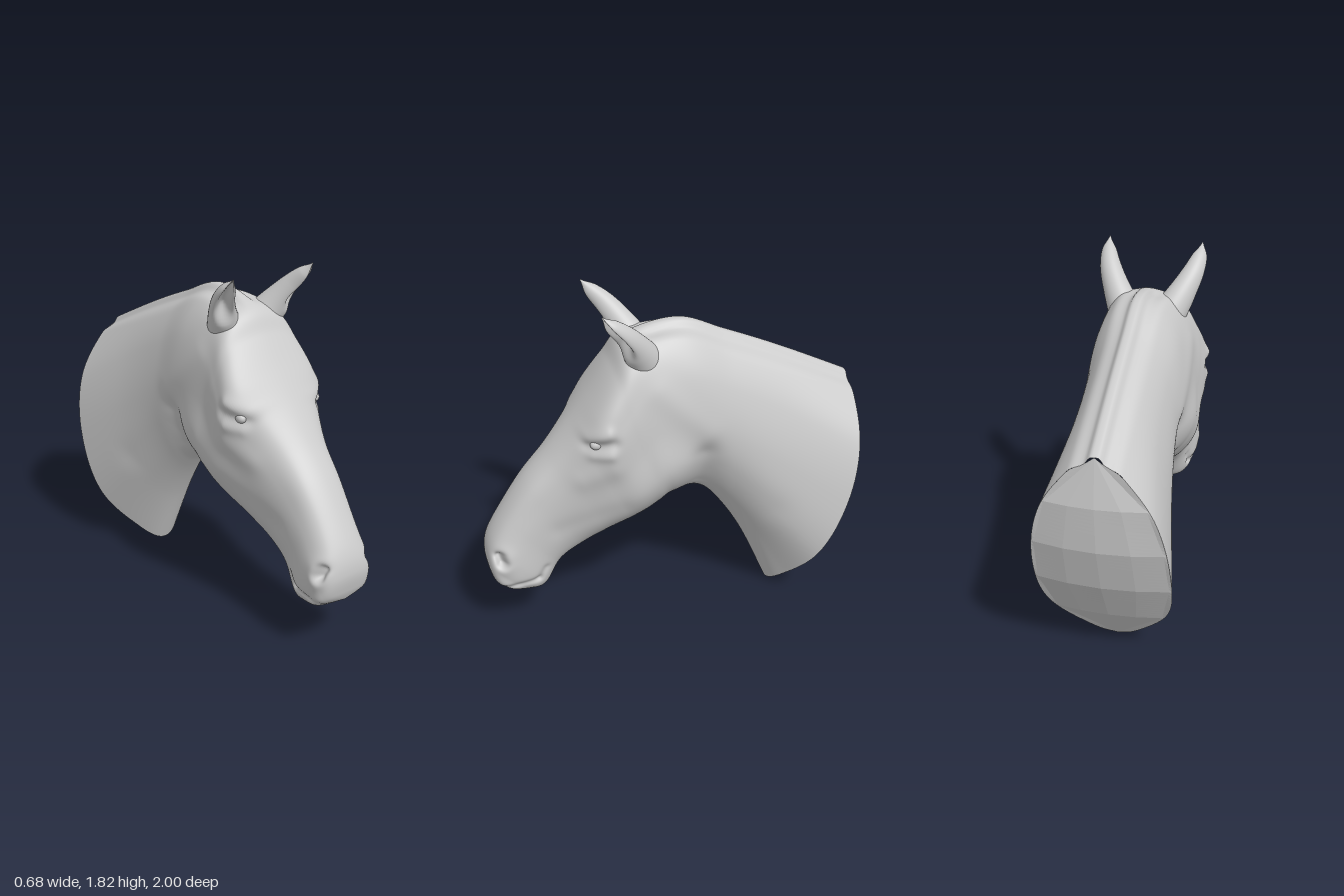
import * as THREE from 'three';

const { clamp, smoothstep } = THREE.MathUtils;
const grey = (opts = {}) => new THREE.MeshStandardMaterial({ color: 0xcccccc, roughness: 0.8, ...opts });
const range = (n, f) => Array.from({ length: n }, (_, i) => f(i));

// Catmull-Rom value through four numbers
const spline = (a, b, c, d, t) =>
  b + 0.5 * t * (c - a + t * (2 * a - 5 * b + 4 * c - d + t * (3 * (b - c) + d - a)));

// Side-view sections, neck base to lips:
// top z, top y, bottom z, bottom y, half-widths at 30/60/90/120 degrees from the top
const SECTIONS = [
  [-0.97, 1.26, -0.57, 0.00, 0.13, 0.28, 0.337, 0.308],
  [-0.60, 1.44, -0.42, 0.34, 0.11, 0.215, 0.27, 0.25],
  [-0.30, 1.57, -0.28, 0.57, 0.105, 0.20, 0.243, 0.21],
  [-0.05, 1.665, -0.16, 0.69, 0.12, 0.215, 0.247, 0.21],
  [0.22, 1.61, 0.00, 0.70, 0.17, 0.24, 0.262, 0.262],
  [0.32, 1.48, 0.07, 0.66, 0.212, 0.268, 0.268, 0.265],
  [0.43, 1.32, 0.14, 0.62, 0.235, 0.288, 0.274, 0.258],
  [0.53, 1.18, 0.22, 0.58, 0.175, 0.24, 0.245, 0.232],
  [0.65, 1.03, 0.34, 0.525, 0.13, 0.19, 0.205, 0.19],
  [0.78, 0.88, 0.48, 0.45, 0.115, 0.16, 0.172, 0.15],
  [0.89, 0.72, 0.60, 0.37, 0.105, 0.152, 0.16, 0.14],
  [0.975, 0.57, 0.68, 0.24, 0.11, 0.158, 0.166, 0.145],
  [1.00, 0.46, 0.75, 0.22, 0.115, 0.155, 0.16, 0.135],
  [0.985, 0.36, 0.87, 0.25, 0.09, 0.13, 0.138, 0.12],
  [0.96, 0.30, 0.96, 0.30, 0, 0, 0, 0],
];

// Soft relief strokes on the sides: z, y to z, y, radius, outward height
const RELIEF = [
  [0.38, 1.21, 0.47, 1.18, 0.035, 0.016],    // brow
  [0.35, 1.15, 0.47, 1.13, 0.03, -0.014],    // eye socket
  [0.37, 1.085, 0.45, 1.08, 0.03, 0.010],    // lower lid
  [0.50, 0.93, 0.36, 0.99, 0.06, 0.008],     // face crest
  [0.62, 0.62, 0.30, 0.74, 0.06, -0.006],    // hollow above the jaw
  [-0.14, 0.98, -0.13, 0.78, 0.065, -0.024], // groove behind the jowl
  [-0.02, 0.95, 0.02, 0.80, 0.10, 0.010],    // jowl
  [0.10, 1.38, -0.15, 1.12, 0.07, 0.008],    // neck muscle
  [-0.20, 0.85, -0.50, 0.60, 0.09, -0.008],  // neck furrow
  [0.925, 0.49, 0.925, 0.45, 0.06, 0.014],   // nostril rim
  [0.94, 0.495, 0.93, 0.46, 0.026, -0.05],   // nostril
  [0.92, 0.30, 0.74, 0.32, 0.018, -0.012],   // mouth line
  [0.74, 0.32, 0.70, 0.38, 0.02, -0.010],    // mouth corner
];

function relief(z, y) {
  return RELIEF.reduce((sum, [z1, y1, z2, y2, r, h]) => {
    const dz = z2 - z1, dy = y2 - y1;
    const k = clamp(((z - z1) * dz + (y - y1) * dy) / (dz * dz + dy * dy), 0, 1);
    const d2 = (z - z1 - k * dz) ** 2 + (y - y1 - k * dy) ** 2;
    return sum + h * Math.exp(-d2 / (r * r));
  }, 0);
}

// Section values at a fractional position along the body
function sectionAt(u) {
  const n = SECTIONS.length - 1, i = Math.min(Math.floor(u), n - 1);
  const at = (k) => SECTIONS[clamp(k, 0, n)];
  return at(i).map((_, c) => spline(at(i - 1)[c], at(i)[c], at(i + 1)[c], at(i + 2)[c], u - i));
}

// Point on a section; angle runs top, left side, bottom, right side
function skinPoint(s, angle) {
  const [topZ, topY, lowZ, lowY, w1, w2, w3, w4] = s;
  const side = angle > Math.PI ? -1 : 1;
  const theta = side > 0 ? angle : 2 * Math.PI - angle;
  const w5 = w4 * (0.55 + 0.1 * topZ);
  const w = [-w1, 0, w1, w2, w3, w4, w5, 0, -w5];
  const f = theta / (Math.PI / 6), k = Math.min(Math.floor(f), 5);
  const t = (1 - Math.cos(theta)) / 2;
  // Sections bow backward near the neck base
  const bow = 0.13 * clamp((-0.25 - topZ) / 0.72, 0, 1) ** 1.5;
  const z = topZ + (lowZ - topZ) * t - bow * Math.sin(theta) ** 2;
  let y = topY + (lowY - topY) * t;
  let x = Math.max(0, spline(w[k], w[k + 1], w[k + 2], w[k + 3], f - k));
  // Grooves beside the crest leave a clipped mane ridge
  if (t < 0.3) {
    const groove = smoothstep(x, 0.018, 0.05) * (1 - smoothstep(x, 0.055, 0.13));
    y -= 0.026 * groove * (1 - smoothstep(topZ, 0.08, 0.24));
  }
  x = Math.max(0, x + relief(z, y) * Math.min(1, x / 0.08));
  return new THREE.Vector3(side * x, y, z);
}

// Surface through rows of points; rows close into rings when wrap is set
function loft(rows, wrap = true, flip = false) {
  const m = rows[0].length, index = [];
  for (let i = 0; i < rows.length - 1; i++) {
    for (let j = 0; j < (wrap ? m : m - 1); j++) {
      const a = i * m + j, b = i * m + (j + 1) % m, c = a + m, d = b + m;
      index.push(...(flip ? [a, b, c, b, d, c] : [a, c, b, b, c, d]));
    }
  }
  const geo = new THREE.BufferGeometry().setFromPoints(rows.flat());
  geo.setIndex(index);
  geo.computeVertexNormals();
  return geo;
}

function headAndNeck() {
  const steps = 210, sides = 160;
  return loft(range(steps + 1, (i) => {
    const s = sectionAt((i / steps) * (SECTIONS.length - 1));
    return range(sides, (j) => skinPoint(s, (j / sides) * 2 * Math.PI));
  }));
}

// Faceted, slightly domed plate closing the neck
function neckCap() {
  const fine = 60, bands = 5;
  const domed = (v, u) => {
    const theta = Math.acos(1 - 2 * v), p = skinPoint(SECTIONS[0], theta);
    p.x *= u;
    p.z -= 0.045 * Math.sin(theta) ** 2 * (1 - u * u);
    return p;
  };
  // The rim follows the skin; inside it the facets are flat
  const rows = range(fine + 1, (i) => {
    const v = i / fine, b = Math.min(Math.floor(v * bands), bands - 1);
    return [-1, -0.96, -0.5, 0, 0.5, 0.96, 1].map((u) => Math.abs(u) === 1
      ? domed(v, u)
      : domed(b / bands, u).lerp(domed((b + 1) / bands, u), v * bands - b));
  });
  const geo = loft(rows, false, true).toNonIndexed();
  geo.computeVertexNormals();
  return geo;
}

// Cupped ear, open to the front and outside
function ear(side) {
  const path = new THREE.CatmullRomCurve3([
    new THREE.Vector3(0.08, 1.45, 0.12), new THREE.Vector3(0.165, 1.59, 0.20),
    new THREE.Vector3(0.218, 1.69, 0.275), new THREE.Vector3(0.24, 1.76, 0.34),
    new THREE.Vector3(0.245, 1.815, 0.385),
  ]);
  const radii = [0.105, 0.078, 0.06, 0.04, 0.004];
  const steps = 40, sides = 40;
  return loft(range(steps + 1, (i) => {
    const v = i / steps, c = path.getPoint(v), axis = path.getTangent(v);
    const k = Math.min(Math.floor(v * 4), 3), at = (n) => radii[clamp(n, 0, 4)];
    const r = spline(at(k - 1), at(k), at(k + 1), at(k + 2), v * 4 - k);
    const front = new THREE.Vector3(0.5, -0.2, 0.8);
    front.addScaledVector(axis, -front.dot(axis)).normalize();
    const across = new THREE.Vector3().crossVectors(axis, front);
    const hollow = 1.3 * smoothstep(v, 0.25, 0.45);
    return range(sides, (j) => {
      const a = (j / sides) * 2 * Math.PI - Math.PI;
      const cup = 1 - hollow * Math.exp(-((a / 0.7) ** 2));
      const p = c.clone().addScaledVector(front, Math.cos(a) * r * cup)
        .addScaledVector(across, Math.sin(a) * r * 0.92);
      p.x *= side;
      return p;
    });
  }), true, side > 0);
}

export function createModel() {
  const group = new THREE.Group();
  group.name = 'horseBust';
  const add = (name, geo, mat = grey()) => {
    const mesh = new THREE.Mesh(geo, mat);
    mesh.name = name;
    group.add(mesh);
    return mesh;
  };
  add('headAndNeck', headAndNeck());
  add('neckCap', neckCap(), grey({ flatShading: true, side: THREE.DoubleSide }));
  for (const [name, side] of [['left', 1], ['right', -1]]) {
    add(name + 'Ear', ear(side), grey({ side: THREE.DoubleSide }));
    // Eyeball set into the socket
    const eye = add(name + 'Eye', new THREE.SphereGeometry(1, 24, 16));
    eye.scale.set(0.03, 0.03, 0.045);
    eye.position.set(side * 0.225, 1.14, 0.42);
    eye.rotation.y = side * 0.45;
  }
  return group;
}
